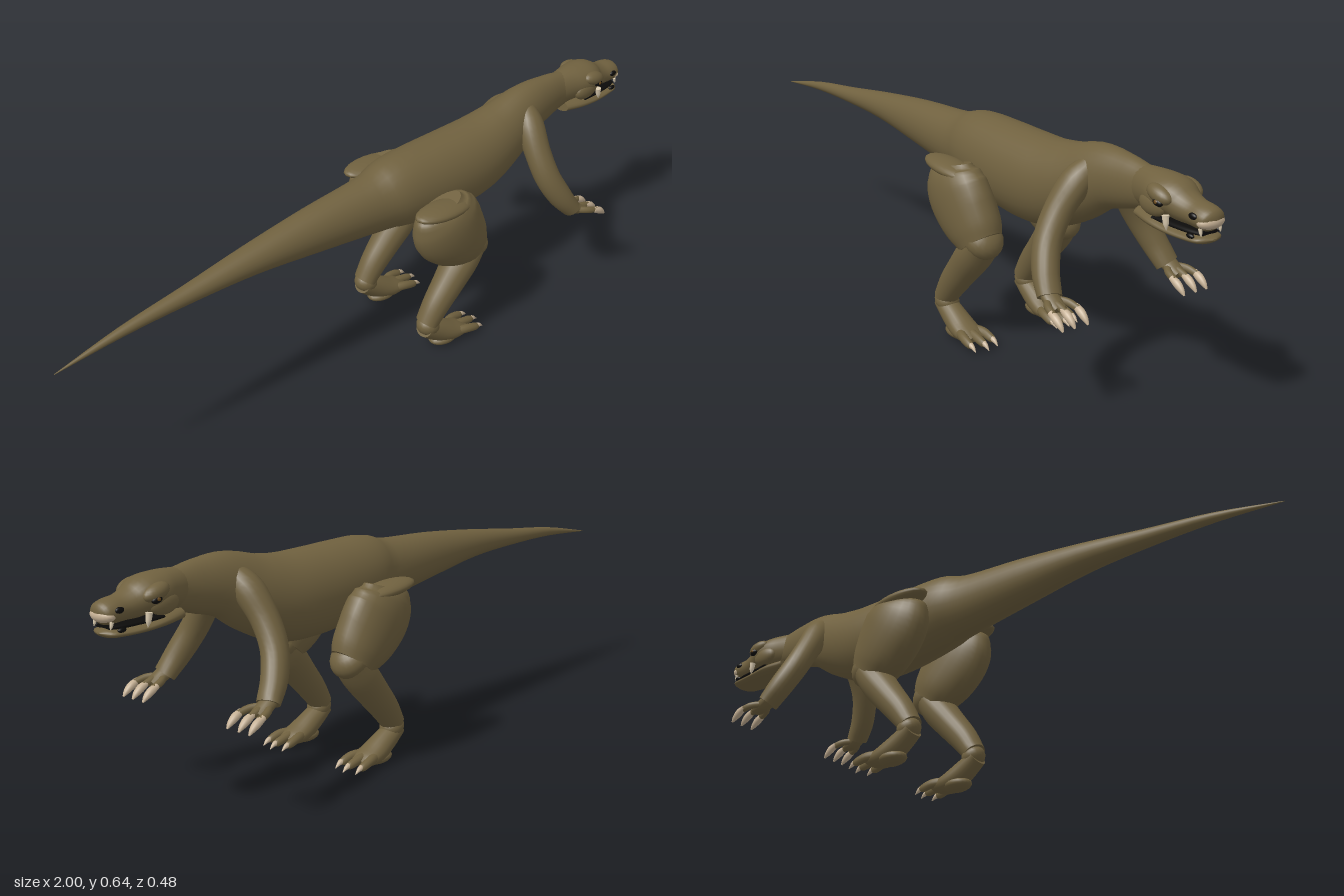
import * as THREE from 'three';

const mat = (name, color, side = THREE.FrontSide) => {
  const m = new THREE.MeshStandardMaterial({ color, side });
  m.name = name;
  return m;
};

// Smooth tube through oval sections [x, y, z, half height, half width in z]
function loft(sections, sides = 20, stepsPer = 4) {
  const path = new THREE.CatmullRomCurve3(sections.map(s => new THREE.Vector3(s[0], s[1], s[2])), false, 'catmullrom', 0.5);
  const radii = new THREE.CatmullRomCurve3(sections.map(s => new THREE.Vector3(s[3], s[4], 0)), false, 'catmullrom', 0.5);
  const steps = (sections.length - 1) * stepsPer;
  const pos = [], idx = [];
  const zAxis = new THREE.Vector3(0, 0, 1);
  for (let i = 0; i <= steps; i++) {
    const u = i / steps, p = path.getPoint(u), r = radii.getPoint(u), t = path.getTangent(u);
    const side = zAxis.clone().addScaledVector(t, -t.z).normalize();
    const up = new THREE.Vector3().crossVectors(side, t);
    for (let j = 0; j < sides; j++) {
      const a = j / sides * Math.PI * 2;
      const v = p.clone().addScaledVector(up, Math.max(r.x, 0.0005) * Math.cos(a))
        .addScaledVector(side, Math.max(r.y, 0.0005) * Math.sin(a));
      pos.push(v.x, v.y, v.z);
    }
  }
  for (let i = 0; i < steps; i++) for (let j = 0; j < sides; j++) {
    const a = i * sides + j, b = i * sides + (j + 1) % sides;
    idx.push(a, b, a + sides, b, b + sides, a + sides);
  }
  // End caps keep their own vertices so the rims stay crisp
  for (const [ring, flip] of [[0, true], [steps, false]]) {
    const base = pos.length / 3, c = path.getPoint(ring / steps);
    for (let j = 0; j < sides; j++) pos.push(...pos.slice((ring * sides + j) * 3, (ring * sides + j) * 3 + 3));
    pos.push(c.x, c.y, c.z);
    for (let j = 0; j < sides; j++) {
      const a = base + j, b = base + (j + 1) % sides;
      idx.push(base + sides, flip ? b : a, flip ? a : b);
    }
  }
  const g = new THREE.BufferGeometry();
  g.setAttribute('position', new THREE.Float32BufferAttribute(pos, 3));
  g.setIndex(idx);
  g.computeVertexNormals();
  return g;
}

export function createModel() {
  const root = new THREE.Group();
  root.name = 'reptile';
  const skin = mat('olive skin', 0x70613f), claw = mat('pale claw', 0xc6b195);
  const ivory = mat('ivory tooth', 0xd8c9ae), dark = mat('black', 0x0c0b0a), amber = mat('amber eye', 0x6b4a1c);

  const add = (parent, name, geometry, material) => {
    const m = new THREE.Mesh(geometry, material);
    m.name = name;
    parent.add(m);
    return m;
  };
  const blob = (parent, name, material, p, r, tilt = 0) => {
    const m = add(parent, name, new THREE.SphereGeometry(1, 20, 14), material);
    m.position.set(...p);
    m.scale.set(...r);
    m.rotation.z = tilt;
    return m;
  };

  // Tail, trunk and neck: [x, top, bottom, half width]
  const bodyProfile = [
    [-1, 0.446, 0.444, 0.001], [-0.8, 0.487, 0.46, 0.014], [-0.6, 0.513, 0.463, 0.026],
    [-0.4, 0.541, 0.457, 0.042], [-0.2, 0.564, 0.432, 0.058], [0, 0.578, 0.405, 0.075],
    [0.09, 0.601, 0.39, 0.094], [0.2, 0.603, 0.37, 0.102], [0.3, 0.602, 0.36, 0.104],
    [0.4, 0.604, 0.368, 0.1], [0.5, 0.617, 0.41, 0.085], [0.6, 0.64, 0.47, 0.063],
    [0.69, 0.637, 0.498, 0.046], [0.75, 0.628, 0.514, 0.038], [0.81, 0.618, 0.53, 0.04],
  ];
  add(root, 'body', loft(bodyProfile.map(([x, t, b, w]) => [x, (t + b) / 2, 0, (t - b) / 2, w]), 28), skin);

  // Head
  const head = new THREE.Group();
  head.name = 'head';
  root.add(head);
  add(head, 'skull', loft([
    [0.73, 0.573, 0, 0.05, 0.034], [0.78, 0.576, 0, 0.052, 0.046], [0.82, 0.578, 0, 0.051, 0.057],
    [0.86, 0.577, 0, 0.048, 0.06], [0.895, 0.566, 0, 0.04, 0.047], [0.93, 0.56, 0, 0.033, 0.039],
    [0.965, 0.557, 0, 0.031, 0.039], [0.987, 0.553, 0, 0.025, 0.032], [0.998, 0.55, 0, 0.002, 0.003],
  ], 24), skin);
  add(head, 'lowerJaw', loft([
    [0.76, 0.517, 0, 0.018, 0.04], [0.82, 0.513, 0, 0.018, 0.053], [0.88, 0.507, 0, 0.014, 0.052],
    [0.94, 0.506, 0, 0.012, 0.046], [0.975, 0.508, 0, 0.011, 0.038], [0.993, 0.51, 0, 0.002, 0.006],
  ], 24), skin);
  add(head, 'mouth', loft([
    [0.83, 0.526, 0, 0.008, 0.049], [0.88, 0.523, 0, 0.009, 0.045], [0.94, 0.522, 0, 0.009, 0.038],
    [0.975, 0.522, 0, 0.006, 0.028],
  ], 16), dark);
  blob(head, 'snoutPlate', claw, [0.976, 0.551, 0], [0.024, 0.019, 0.039]);

  for (const s of [1, -1]) {
    const sideName = s > 0 ? 'front' : 'back';
    blob(head, 'brow', skin, [0.855, 0.59, s * 0.046], [0.04, 0.021, 0.023], -0.25);
    blob(head, 'cheek', skin, [0.83, 0.558, s * 0.043], [0.045, 0.028, 0.018]);
    blob(head, 'eyeSocket', dark, [0.864, 0.576, s * 0.06], [0.016, 0.01, 0.009], -0.2);
    blob(head, 'eye', amber, [0.864, 0.577, s * 0.064], [0.008, 0.006, 0.006]);
    blob(head, 'nostril', dark, [0.957, 0.564, s * 0.037], [0.013, 0.008, 0.006]);
    blob(head, 'jawSpot', dark, [0.955, 0.517, s * 0.04], [0.012, 0.006, 0.006]);
    const fang = (x, top, z, h, r) => add(head, 'tooth', loft([
      [x, top, s * z, r, r], [x + 0.003, top - h * 0.6, s * z, r * 0.75, r * 0.75], [x + 0.005, top - h, s * z, 0.001, 0.001],
    ], 10), ivory);
    fang(0.88, 0.546, 0.049, 0.035, 0.009);
    fang(0.975, 0.538, 0.03, 0.018, 0.005);

    // Arm with three clawed fingers
    const arm = new THREE.Group();
    arm.name = sideName + 'Arm';
    root.add(arm);
    add(arm, 'armLimb', loft([
      [0.585, 0.585, s * 0.025, 0.03, 0.03], [0.572, 0.545, s * 0.063, 0.042, 0.04], [0.563, 0.48, s * 0.108, 0.039, 0.037],
      [0.57, 0.41, s * 0.147, 0.038, 0.036], [0.6, 0.345, s * 0.175, 0.035, 0.035], [0.637, 0.293, s * 0.19, 0.027, 0.033],
    ]), skin);
    add(arm, 'hand', loft([
      [0.625, 0.305, s * 0.19, 0.018, 0.024], [0.655, 0.287, s * 0.193, 0.017, 0.024], [0.685, 0.277, s * 0.194, 0.009, 0.019],
    ], 14), skin);
    for (const d of [-0.038, 0.002, 0.038]) {
      const z = s * (0.193 + d), z0 = s * (0.193 + d * 0.35);
      add(arm, 'finger', loft([
        [0.65, 0.288, z0, 0.01, 0.01], [0.675, 0.285, s * (0.193 + d * 0.8), 0.01, 0.01], [0.705, 0.277, z, 0.009, 0.009],
      ], 10), skin);
      add(arm, 'fingerClaw', loft([
        [0.694, 0.281, z, 0.008, 0.009], [0.715, 0.271, z, 0.011, 0.011], [0.732, 0.259, z, 0.008, 0.008], [0.743, 0.248, z, 0.002, 0.003],
      ], 10), claw);
    }

    // Hind leg: thigh, shin and three-toed foot
    const leg = new THREE.Group();
    leg.name = sideName + 'Leg';
    root.add(leg);
    add(leg, 'thigh', loft([
      [0.145, 0.49, s * 0.138, 0.075, 0.035], [0.152, 0.465, s * 0.138, 0.098, 0.056], [0.17, 0.425, s * 0.138, 0.112, 0.066],
      [0.205, 0.378, s * 0.135, 0.107, 0.068], [0.242, 0.334, s * 0.131, 0.089, 0.065], [0.266, 0.302, s * 0.13, 0.07, 0.056],
    ], 24), skin);
    blob(leg, 'hipFold', skin, [0.15, 0.485, s * 0.15], [0.1, 0.02, 0.045], -0.08);
    blob(leg, 'knee', skin, [0.275, 0.315, s * 0.13], [0.058, 0.045, 0.055], -0.7);
    add(leg, 'shin', loft([
      [0.283, 0.315, s * 0.131, 0.042, 0.05], [0.24, 0.262, s * 0.133, 0.049, 0.052], [0.19, 0.203, s * 0.135, 0.045, 0.045],
      [0.145, 0.15, s * 0.136, 0.04, 0.039], [0.11, 0.1, s * 0.136, 0.032, 0.034],
    ]), skin);
    blob(leg, 'ankle', skin, [0.115, 0.09, s * 0.137], [0.036, 0.03, 0.034], -0.5);
    add(leg, 'foot', loft([
      [0.1, 0.085, s * 0.137, 0.025, 0.03], [0.145, 0.057, s * 0.137, 0.031, 0.034], [0.19, 0.034, s * 0.137, 0.03, 0.039],
      [0.23, 0.025, s * 0.137, 0.02, 0.038], [0.255, 0.022, s * 0.137, 0.008, 0.025],
    ]), skin);
    blob(leg, 'sole', skin, [0.178, 0.019, s * 0.137], [0.05, 0.019, 0.035]);
    for (const d of [-0.036, 0, 0.036]) {
      const z = s * (0.137 + d), reach = d === 0 ? 0.01 : 0;
      add(leg, 'toe', loft([
        [0.2, 0.03, s * (0.137 + d * 0.5), 0.014, 0.014], [0.24, 0.03, s * (0.137 + d * 0.9), 0.013, 0.013],
        [0.275 + reach, 0.022, z, 0.011, 0.011], [0.286 + reach, 0.02, z, 0.004, 0.004],
      ], 12), skin);
      add(leg, 'toeClaw', loft([
        [0.268 + reach, 0.025, z, 0.008, 0.008], [0.287 + reach, 0.021, z, 0.007, 0.007], [0.304 + reach, 0.01, z, 0.001, 0.001],
      ], 10), claw);
    }
  }
  return root;
}
